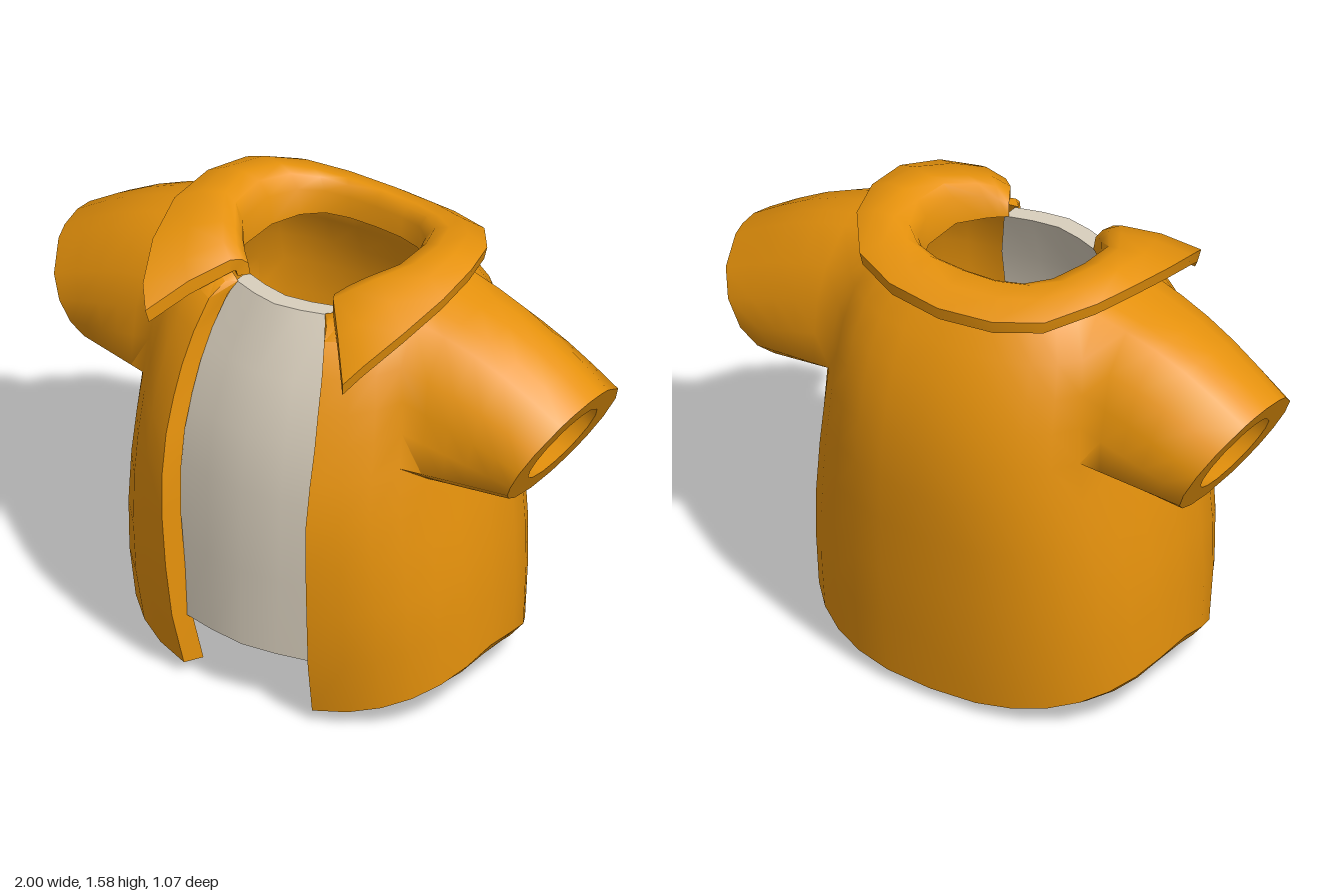
import * as THREE from 'three';
import { toCreasedNormals } from 'three/addons/utils/BufferGeometryUtils.js';

const V = (x, y, z) => new THREE.Vector3(x, y, z);
const orange = new THREE.MeshStandardMaterial({ color: 0xe8930c });
orange.name = 'orange cloth';
const cream = new THREE.MeshStandardMaterial({ color: 0xd9cfbd });
cream.name = 'cream cloth';

// Collects quads, optionally mirrored across x = 0, and makes a creased mesh
class Builder {
  constructor(mirror) { this.mirror = mirror; this.pos = []; }
  tri(a, b, c) {
    for (const p of [a, b, c]) this.pos.push(p.x, p.y, p.z);
    if (this.mirror) for (const p of [a, c, b]) this.pos.push(-p.x, p.y, p.z);
  }
  quad(a, b, c, d) { this.tri(a, b, c); this.tri(a, c, d); }

  // Strip joining two matching lines of points
  strip(A, B) {
    for (let k = 0; k < A.length - 1; k++) this.quad(A[k], A[k + 1], B[k + 1], B[k]);
  }

  // Two matching grids [row][column] joined by rims into cloth with thickness
  cloth(outer, inner, rims, hole = () => false) {
    const R = outer.length - 1, C = outer[0].length - 1;
    for (let i = 0; i < R; i++) for (let j = 0; j < C; j++) {
      if (hole(i, j)) continue;
      this.quad(outer[i][j], outer[i][j + 1], outer[i + 1][j + 1], outer[i + 1][j]);
      this.quad(inner[i][j], inner[i + 1][j], inner[i + 1][j + 1], inner[i][j + 1]);
    }
    const column = (g, j) => g.map(row => row[j]);
    if (rims.includes('bottom')) this.strip(inner[0], outer[0]);
    if (rims.includes('top')) this.strip(outer[R], inner[R]);
    if (rims.includes('start')) this.strip(column(outer, 0), column(inner, 0));
    if (rims.includes('end')) this.strip(column(inner, C), column(outer, C));
  }

  mesh(name, material, crease = 0.75) {
    const g = new THREE.BufferGeometry();
    g.setAttribute('position', new THREE.Float32BufferAttribute(this.pos, 3));
    const m = new THREE.Mesh(toCreasedNormals(g, crease), material);
    m.name = name;
    return m;
  }
}

// Jacket rows from hem to neck: height fraction, half width, front, back, opening
const ROWS = [
  [0, .65, .455, .46, .25], [.14, .65, .503, .487, .265], [.28, .64, .528, .507, .275],
  [.42, .617, .546, .522, .28], [.535, .592, .55, .532, .28], [.64, .575, .53, .525, .28],
  [.73, .565, .495, .505, .275], [.81, .555, .46, .47, .265], [.89, .53, .415, .42, .25],
  [.97, .47, .365, .345, .225], [1, .35, .325, .315, .2],
];
const COLS = 14, POW = 0.83;
const ARM = { r0: 4, r1: 9, c0: 3, c1: 9 };

function jacketPoint(i, j, inner) {
  let [t, rx, zf, zb, open] = ROWS[i];
  zf *= 1.05;
  // Rounded lower corners of the armhole
  if (i === ARM.r0 && (j === ARM.c0 + 1 || j === ARM.c1 - 1)) t += .045;
  if (inner) {
    const neckRow = i === ROWS.length - 1;
    rx -= .028;
    zf -= neckRow ? .042 : .072;
    zb -= neckRow ? .045 : .09;
    open -= .03;
  }
  const start = Math.asin(Math.pow(open / rx, 1 / POW));
  const a = start + (Math.PI - start) * j / COLS;
  const s = Math.max(0, Math.sin(a)), c = Math.cos(a), front = c > 0;
  const w = Math.pow(Math.abs(c), 1.2);
  const drop = inner && i === 0 ? (front ? .042 * (1 - w) : .036) : 0;
  const hem = .22 + ((front ? .03 : .035) - .22) * w - drop;
  const neck = 1.5 + ((front ? 1.4 : 1.48) - 1.5) * w;
  const x = j === COLS ? 0 : rx * Math.pow(s, POW);
  return V(x, hem + t * (neck - hem), Math.sign(c) * (front ? zf : zb) * Math.pow(Math.abs(c), POW));
}

// Points around the armhole, counter-clockwise from outside
function armLoop(grid) {
  const { r0, r1, c0, c1 } = ARM, loop = [];
  for (let j = c0 + 1; j < c1; j++) loop.push(grid[r0][j]);
  for (let i = r0 + 1; i < r1; i++) loop.push(grid[i][c1]);
  for (let j = c1 - 1; j > c0; j--) loop.push(grid[r1][j]);
  for (let i = r1 - 1; i > r0; i--) loop.push(grid[i][c0]);
  return loop;
}

function buildJacket() {
  const b = new Builder(true);
  const grid = inner => ROWS.map((_, i) =>
    Array.from({ length: COLS + 1 }, (_, j) => jacketPoint(i, j, inner)));
  const outer = grid(false), inner = grid(true);
  b.cloth(outer, inner, ['top', 'start'],
    (i, j) => i >= ARM.r0 && i < ARM.r1 && j >= ARM.c0 && j < ARM.c1);

  // Corner triangles that round off the armhole
  for (const [i, di] of [[ARM.r0, 1], [ARM.r1, -1]]) for (const [j, dj] of [[ARM.c0, 1], [ARM.c1, -1]]) {
    const corner = g => [g[i][j], g[i][j + dj], g[i + di][j]];
    const [p, q, r] = corner(outer), [u, v, w] = corner(inner);
    if (di * dj > 0) { b.tri(p, q, r); b.tri(u, w, v); } else { b.tri(p, r, q); b.tri(u, v, w); }
  }

  // Sleeve: rings out to the cuff and back along the lining
  const loopOut = armLoop(outer), loopIn = armLoop(inner);
  const angles = loopOut.map(p => Math.atan2((p.y - 1.17) / .27, (p.z + .03) / .3));
  const cuff = (h, d) => angles.map(a =>
    V(.885 + .494 * h * Math.sin(a), 1.03 + .87 * h * Math.sin(a), -.03 + d * Math.cos(a)));
  const cuffOut = cuff(.234, .26), cuffIn = cuff(.147, .16);
  const between = (A, B, k) => A.map((p, n) => {
    const q = p.clone().lerp(B[n], k);
    q.y += .04 * Math.sin(Math.PI * k) * Math.max(0, Math.sin(angles[n]));
    return q;
  });
  const steps = [0, .2, .4, .6, .8, 1];
  const rings = [
    ...steps.map(k => between(loopOut, cuffOut, k)),
    ...steps.map(k => between(loopIn, cuffIn, 1 - k)),
  ];
  for (let r = 0; r < rings.length - 1; r++) {
    const closed = ring => [...ring, ring[0]];
    b.strip(closed(rings[r]), closed(rings[r + 1]));
  }

  // Hem edge kept apart so that its corner stays sharp
  const hem = new Builder(true);
  hem.strip(inner[0], outer[0]);
  return [b.mesh('jacketWithSleeves', orange, 1.0), hem.mesh('jacketHem', orange)];
}

// Collar stations from the front tip to the back: neck, crest and outer edge
const COLLAR = [
  [[.165, 1.41, .21], [.2, 1.48, .27], [.385, 1.33, .48]],
  [[.19, 1.41, .19], [.25, 1.515, .24], [.43, 1.39, .43]],
  [[.22, 1.41, .16], [.3, 1.54, .17], [.49, 1.465, .29]],
  [[.28, 1.41, .08], [.37, 1.567, .06], [.525, 1.52, .12]],
  [[.28, 1.41, -.07], [.38, 1.577, -.06], [.515, 1.54, -.05]],
  [[.24, 1.41, -.17], [.33, 1.56, -.19], [.47, 1.53, -.2]],
  [[.18, 1.41, -.225], [.24, 1.542, -.25], [.36, 1.49, -.34]],
  [[.1, 1.41, -.245], [.13, 1.532, -.28], [.2, 1.465, -.4]],
  [[0, 1.41, -.25], [0, 1.53, -.285], [0, 1.455, -.42]],
];

function buildCollar() {
  const b = new Builder(true), top = [], under = [];
  for (const station of COLLAR) {
    const [n, c, o] = station.map(p => V(...p));
    const roll = (kx, ky) => V(n.x + (c.x - n.x) * kx, n.y + (c.y - n.y) * ky, n.z + (c.z - n.z) * kx);
    const m = roll(.1, .6), e = roll(.45, .9);
    const f = c.clone().lerp(o, .5);
    f.y += .015;
    top.push([n, m, e, c, f, o]);
    const low = (p, s, d) => V(p.x * s, p.y - d, p.z * s);
    under.push([low(n, 1.16, 0), low(m, 1.15, .02), low(e, 1.1, .04), low(c, 1.03, .05),
      low(f, .99, .05), low(o, .98, .045)]);
  }
  b.cloth(top, under, ['bottom', 'start', 'end']);
  return b.mesh('collar', orange, 0.9);
}

// Undershirt rows: height, front depth, half width
const SHIRT = [
  [.22, .493, .255], [.5, .5, .28], [.8, .495, .285], [1, .465, .28], [1.2, .405, .255], [1.41, .312, .18],
];

function buildUndershirt() {
  const b = new Builder(false);
  const grid = back => SHIRT.map(([y, z, w]) => [-1, -.5, 0, .5, 1].map(u =>
    V(u * w, y, z - .045 * Math.abs(u) ** 1.5 - back)));
  b.cloth(grid(0), grid(.062), ['bottom', 'top', 'start', 'end']);
  return b.mesh('undershirtFront', cream);
}

export function createModel() {
  const model = new THREE.Group();
  model.name = 'openShirt';
  model.add(...buildJacket(), buildCollar(), buildUndershirt());
  return model;
}
